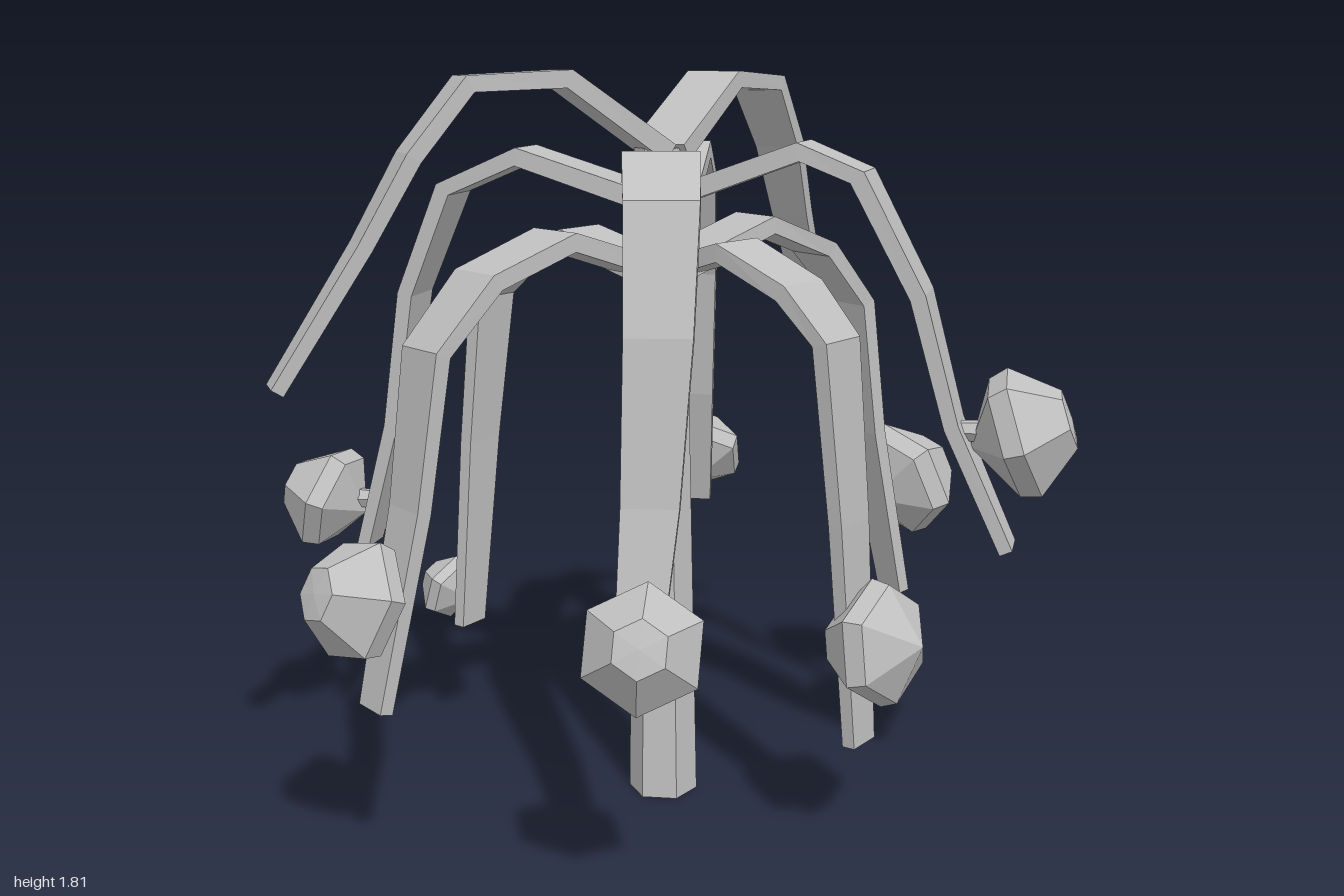
import * as THREE from 'three';

const UP = new THREE.Vector3(0, 1, 0);

// Arch shapes: outward and downward fractions from the crown to the tip
const ARCHES = {
  tall: { start: 1.62, width: 0.15, out: [0, 0.27, 0.52, 0.66, 0.78, 1], drop: [0, -0.33, -0.31, 0, 0.38, 1] },
  middle: { start: 1.5, width: 0.18, out: [0, 0.43, 0.67, 0.81, 0.88, 1], drop: [0, -0.12, -0.03, 0.26, 0.64, 1] },
  wide: { start: 1.5, width: 0.19, out: [0, 0.41, 0.57, 0.74, 0.84, 1], drop: [0, -0.16, -0.09, 0.25, 0.63, 1] },
  low: { start: 1.33, width: 0.17, out: [0, 0.39, 0.65, 0.82, 0.88, 1], drop: [0, -0.11, -0.03, 0.13, 0.51, 1] },
  narrow: { start: 1.33, width: 0.17, out: [0, 0.43, 0.75, 0.92, 0.97, 1], drop: [0, -0.07, 0, 0.1, 0.49, 1] },
};

// Fronds: arch, tip position, sideways bow, and an optional bud
const FRONDS = [
  { name: 'backFrond', arch: 'middle', tip: [0.01, 0.57, -0.75], bow: 0, bud: { at: [0.01, 0.69, -0.84], radius: 0.142, lift: 0.9 } },
  { name: 'tallBackFrond', arch: 'tall', tip: [0.355, 1.11, -0.78], bow: -0.03 },
  { name: 'backLeftFrond', arch: 'low', tip: [0.6, 0.39, -0.5], bow: 0.045, bud: { at: [0.62, 0.69, -0.57], radius: 0.165 } },
  { name: 'leftFrond', arch: 'wide', tip: [0.85, 0.7, 0.13], bow: 0, bud: { at: [0.87, 0.98, 0.12], radius: 0.16 } },
  { name: 'frontLeftFrond', arch: 'narrow', tip: [0.51, 0.26, 0.3], bow: -0.07, bud: { at: [0.55, 0.53, 0.36], radius: 0.15, lift: -0.15, facing: -1 } },
  { name: 'frontFrond', arch: 'middle', tip: [0.03, 0.55, 0.66], bow: 0.04, bud: { at: [0.06, 0.65, 0.79], radius: 0.14 } },
  { name: 'frontRightFrond', arch: 'low', tip: [-0.57, 0.41, 0.6], bow: 0.02, bud: { at: [-0.59, 0.68, 0.64], radius: 0.145 } },
  { name: 'tallRightFrond', arch: 'tall', tip: [-0.83, 1.1, 0.43], bow: 0.035 },
  { name: 'rightFrond', arch: 'middle', tip: [-0.78, 0.6, -0.08], bow: 0, bud: { at: [-0.89, 0.715, -0.09], radius: 0.142 } },
  { name: 'backRightFrond', arch: 'narrow', tip: [-0.57, 0.31, -0.29], bow: -0.07, bud: { at: [-0.635, 0.395, -0.34], radius: 0.097 } },
];

// Separate the faces so every facet gets its own flat normal
function facet(geometry) {
  const g = geometry.toNonIndexed();
  g.computeVertexNormals();
  return g;
}

// Path of one frond, bowed sideways between crown and tip
function frondPath({ start, out, drop }, [x, y, z], side, bow) {
  return out.map((r, i) => new THREE.Vector3(x * r, THREE.MathUtils.lerp(start, y, drop[i]), z * r)
    .addScaledVector(side, bow * Math.sin(Math.PI * i / (out.length - 1))));
}

// Flat strap of rectangular section swept along a path
function strapGeometry(points, side, width) {
  const last = points.length - 1;
  const pos = [], index = [];
  points.forEach((p, i) => {
    const t = points[Math.min(i + 1, last)].clone().sub(points[Math.max(i - 1, 0)]);
    const normal = t.cross(side).normalize();
    const k = i / last;
    const w = width * (1 - 0.45 * k * k) / 2;
    const h = 0.023 - 0.007 * k;
    for (const [a, b] of [[1, 1], [-1, 1], [-1, -1], [1, -1]]) {
      const c = p.clone().addScaledVector(side, a * w).addScaledVector(normal, b * h);
      pos.push(c.x, c.y, c.z);
    }
    if (i === 0) return;
    for (let j = 0; j < 4; j++) {
      const a = (i - 1) * 4 + j, b = (i - 1) * 4 + (j + 1) % 4;
      index.push(a, b, b + 4, a, b + 4, a + 4);
    }
  });
  const e = last * 4;
  index.push(0, 2, 1, 0, 3, 2, e, e + 1, e + 2, e, e + 2, e + 3);
  const g = new THREE.BufferGeometry();
  g.setAttribute('position', new THREE.Float32BufferAttribute(pos, 3));
  g.setIndex(index);
  return facet(g);
}

// Six-sided bud: shallow cone at the back, small flat cap in front
function budGeometry(radius) {
  const profile = [[0, -0.78], [0.92, -0.25], [1, 0.05], [0.45, 0.72], [0, 0.76]];
  return facet(new THREE.LatheGeometry(
    profile.map(([r, y]) => new THREE.Vector2(r * radius, y * radius)), 6));
}

// Point on a path at a given height, searching from the tip
function pathAtHeight(points, y) {
  const i = points.findLastIndex((p) => p.y >= y);
  const a = points[i], b = points[i + 1];
  return a.clone().lerp(b, (a.y - y) / (a.y - b.y));
}

export function createModel() {
  const model = new THREE.Group();
  model.name = 'weepingPlant';
  const gray = new THREE.MeshStandardMaterial({ color: 0xc0c0c0 });
  gray.name = 'gray';

  const add = (parent, name, geometry) => {
    const mesh = new THREE.Mesh(geometry, gray);
    mesh.name = name;
    parent.add(mesh);
    return mesh;
  };

  // Trunk: tapered hexagonal post leaning slightly toward the centre
  const trunk = new THREE.CylinderGeometry(0.06, 0.087, 1.63, 6, 1, false, Math.PI / 6);
  trunk.translate(0, 0.815, 0);
  const p = trunk.attributes.position;
  for (let i = 0; i < p.count; i++) {
    const k = 1 - p.getY(i) / 1.63;
    p.setX(i, p.getX(i) + 0.012 * k);
    p.setZ(i, p.getZ(i) + 0.01 + 0.025 * k);
  }
  add(model, 'trunk', facet(trunk));

  for (const { name, arch, tip, bow, bud } of FRONDS) {
    const group = new THREE.Group();
    group.name = name;
    model.add(group);
    const side = new THREE.Vector3(tip[2], 0, -tip[0]).normalize();
    const points = frondPath(ARCHES[arch], tip, side, bow);
    add(group, 'strap', strapGeometry(points, side, ARCHES[arch].width));
    if (!bud) continue;

    // Bud facing away from the trunk, or toward it when facing is -1
    const { at, radius, lift = 0.35, facing = 1 } = bud;
    const centre = new THREE.Vector3(...at);
    const axis = centre.clone().setY(0).setLength(facing).setY(lift).normalize();
    const head = add(group, 'bud', budGeometry(radius));
    head.position.copy(centre);
    head.quaternion.setFromUnitVectors(UP, axis);

    // Short stem joining the bud to its strap
    const root = pathAtHeight(points, centre.y);
    const reach = centre.clone().sub(root);
    const stem = add(group, 'stem', facet(new THREE.CylinderGeometry(0.03, 0.025, reach.length(), 6)));
    stem.position.copy(root).addScaledVector(reach, 0.5);
    stem.quaternion.setFromUnitVectors(UP, reach.normalize());
  }
  return model;
}
